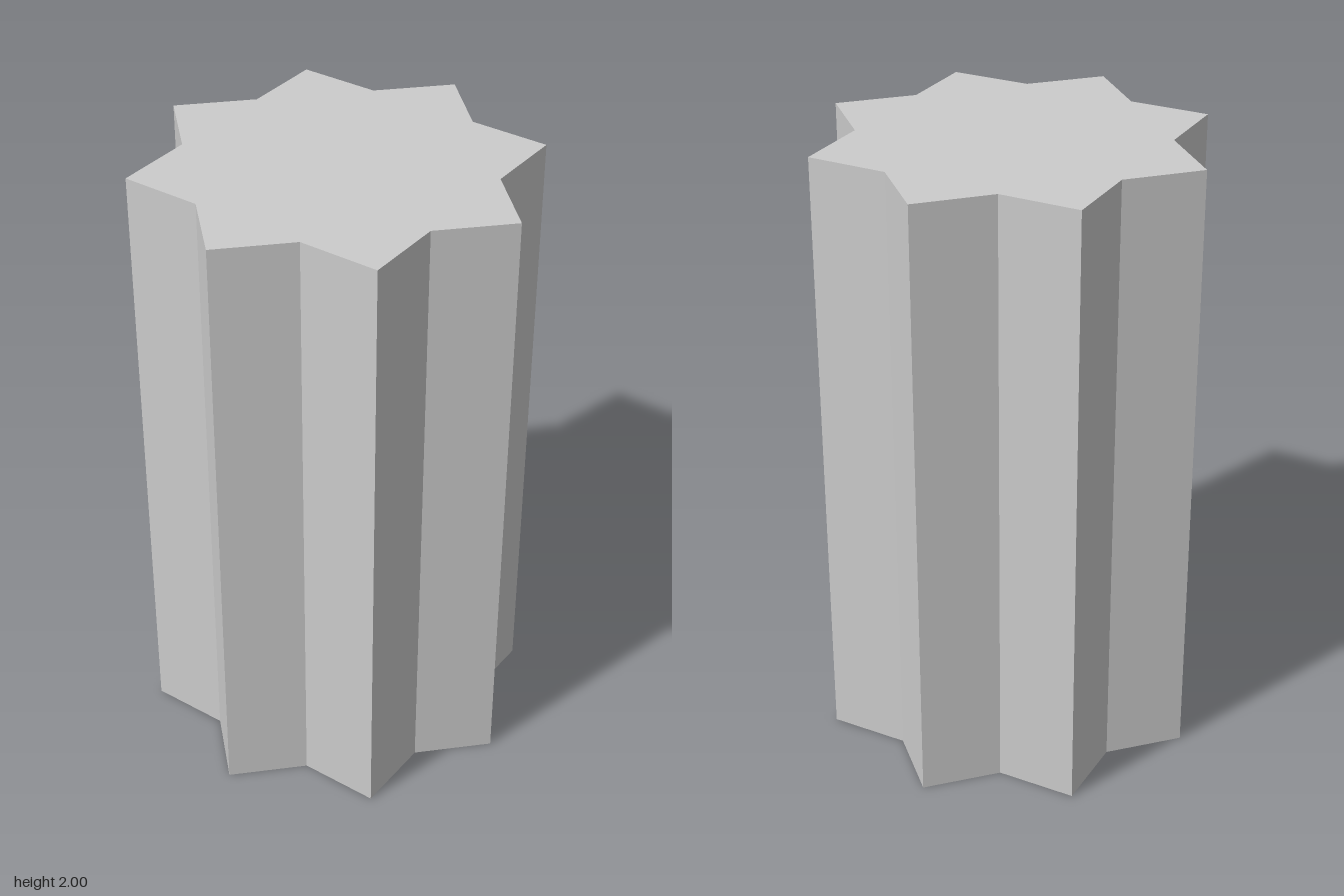
import * as THREE from 'three';

const HEIGHT = 2;
const OUTER = 0.623; // radius at the star tips
const INNER = (OUTER * Math.SQRT1_2) / Math.cos(Math.PI / 8); // where two crossed squares meet

// Eight-pointed star: the outline of two squares turned 45 degrees apart
function starShape() {
  const points = [];
  for (let i = 0; i < 16; i++) {
    const radius = i % 2 ? INNER : OUTER;
    const angle = (i * Math.PI) / 8;
    points.push(new THREE.Vector2(radius * Math.cos(angle), radius * Math.sin(angle)));
  }
  return new THREE.Shape(points);
}

export function createModel() {
  const model = new THREE.Group();
  model.name = 'starPrism';

  // Solid star-section column, extruded and stood upright
  const geometry = new THREE.ExtrudeGeometry(starShape(), { depth: HEIGHT, bevelEnabled: false });
  geometry.rotateX(-Math.PI / 2);
  const material = new THREE.MeshStandardMaterial({ color: 0xcccccc, flatShading: true });
  const column = new THREE.Mesh(geometry, material);
  column.name = 'starColumn';
  model.add(column);

  return model;
}
